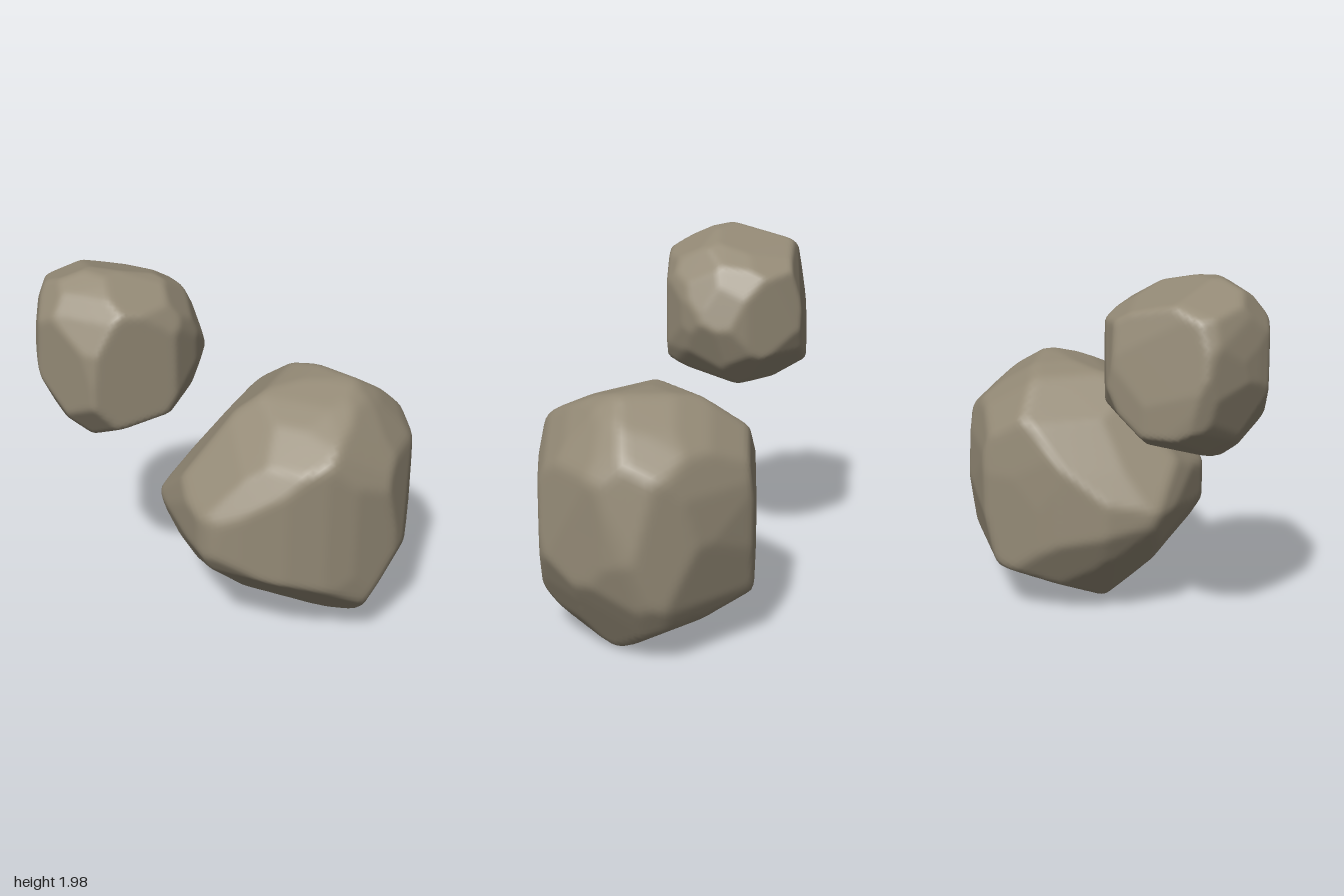
import * as THREE from 'three';
import { mergeVertices } from 'three/addons/utils/BufferGeometryUtils.js';

const V = (x, y, z) => new THREE.Vector3(x, y, z);

// A tilted carving direction, given by its turn about y and its height angle in degrees
function diagonal(turn, height) {
  const t = THREE.MathUtils.degToRad(turn), h = THREE.MathUtils.degToRad(height);
  return [
    V(Math.cos(t), 0, -Math.sin(t)),
    V(-Math.sin(h) * Math.sin(t), Math.cos(h), -Math.sin(h) * Math.cos(t)),
    1,
  ];
}

// Carving directions: the two axes an outline is drawn on, and its origin height
const SIDES = {
  front: [V(1, 0, 0), V(0, 1, 0), 0],
  side: [V(0, 0, 1), V(0, 1, 0), 0],
  top: [V(1, 0, 0), V(0, 0, 1), 0],
  frontDiagonal: diagonal(35, 25),
  backDiagonal: diagonal(215, 25),
  lowDiagonal: diagonal(140, -31),
};

// Each outline edge becomes one cutting plane: [normal, distance from the centre]
function cuttingPlanes(center, outlines) {
  const planes = [];
  for (const [side, o] of Object.entries(outlines)) {
    const [u, v, y0] = SIDES[side];
    const c = center.clone().sub(V(0, y0, 0));
    const cu = c.dot(u), cv = c.dot(v);
    for (let i = 0; i < o.length; i += 2) {
      const j = (i + 2) % o.length;
      let nu = o[j + 1] - o[i + 1], nv = o[i] - o[j];
      const len = Math.hypot(nu, nv);
      const flip = nu * (o[i] - cu) + nv * (o[i + 1] - cv) < 0 ? -1 : 1;
      nu *= flip / len;
      nv *= flip / len;
      let d = 0;
      for (let k = 0; k < o.length; k += 2) {
        d = Math.max(d, nu * (o[k] - cu) + nv * (o[k + 1] - cv));
      }
      planes.push([u.clone().multiplyScalar(nu).addScaledVector(v, nv), d]);
    }
  }
  return planes;
}

// A sphere cut down by the planes, with slightly worn edges
function rock(name, material, center, outlines) {
  const planes = cuttingPlanes(center, outlines);
  const reach = (dir) => {
    let r = 2;
    for (const [n, d] of planes) {
      const k = n.dot(dir);
      if (k > 0.01) r = Math.min(r, d / k);
    }
    return r;
  };
  let geo = new THREE.IcosahedronGeometry(1, 26);
  geo.deleteAttribute('uv');
  geo.deleteAttribute('normal');
  geo = mergeVertices(geo, 1e-5);
  const pos = geo.attributes.position, dir = V(0, 0, 0), t = V(0, 0, 0);
  const wear = 0.05;
  for (let i = 0; i < pos.count; i++) {
    dir.fromBufferAttribute(pos, i).normalize();
    let sum = 2 * reach(dir);
    for (const axis of ['x', 'y', 'z']) {
      for (const s of [-wear, wear]) {
        t.copy(dir);
        t[axis] += s;
        sum += reach(t.normalize());
      }
    }
    dir.multiplyScalar(sum / 8);
    pos.setXYZ(i, dir.x, dir.y, dir.z);
  }
  geo.computeVertexNormals();
  const mesh = new THREE.Mesh(geo, material);
  mesh.name = name;
  mesh.position.copy(center);
  return mesh;
}

export function createModel() {
  const group = new THREE.Group();
  group.name = 'rocks';
  const stone = new THREE.MeshStandardMaterial({ color: 0x958b77 });
  stone.name = 'stone';

  // Large lower boulder
  group.add(rock('largeRock', stone, V(0.34, 0.68, -0.06), {
    front: [0.05, 0.075, 0.58, 0, 0.69, 0.01, 0.83, 0.2, 0.91, 0.37, 0.985, 0.56, 0.92, 1.05, 0.73, 1.32,
      0.63, 1.385, 0.37, 1.365, 0.21, 1.33, 0, 1.17, -0.2, 0.9, -0.335, 0.7, -0.335, 0.64, -0.22, 0.41],
    side: [0.565, 0.81, 0.575, 0.61, 0.5, 0.49, 0, 0.05, -0.15, 0, -0.24, 0.01, -0.58, 0.24, -0.63, 0.36,
      -0.69, 0.7, -0.665, 0.95, -0.6, 1.18, -0.5, 1.28, -0.3, 1.385, -0.15, 1.375, 0.05, 1.32, 0.2, 1.25, 0.4, 1.1],
    top: [0.14, -0.67, 0.5, -0.695, 0.6, -0.66, 0.84, -0.57, 0.9, -0.43, 0.985, -0.05, 0.97, 0.03, 0.82, 0.24, 0.7, 0.35,
      0.52, 0.46, 0.3, 0.54, 0.16, 0.575, 0.07, 0.545, -0.12, 0.38, -0.335, 0.2, -0.3, -0.1, -0.17, -0.33, 0.06, -0.57],
    frontDiagonal: [-0.375, -0.26, 0.01, 0.15, 0.4, 0.38, 0.51, 0.37, 0.77, 0.22, 0.945, 0.09, 1.01, -0.34,
      0.945, -0.58, 0.77, -0.855, 0.7, -0.97, 0.575, -0.99, 0.4, -0.96, 0.05, -0.84, -0.195, -0.655, -0.285, -0.51, -0.355, -0.34],
    backDiagonal: [-1.005, -0.31, -0.97, 0.105, -0.895, 0.21, -0.7, 0.41, -0.56, 0.455, -0.445, 0.45, -0.19, 0.395,
      0.025, 0.245, 0.29, 0.01, 0.37, -0.29, 0.34, -0.395, -0.045, -0.835, -0.795, -0.795, -0.85, -0.73, -0.95, -0.575],
    lowDiagonal: [-0.795, 0.15, -0.73, 0.29, -0.615, 0.43, -0.47, 0.565, -0.345, 0.62, -0.065, 0.565, 0.105, 0.485,
      0.3, 0.34, 0.335, 0.085, 0.355, -0.34, 0.21, -0.565, -0.04, -0.785, -0.37, -0.55, -0.765, -0.415, -0.795, -0.19],
  }));

  // Small upper boulder
  group.add(rock('smallRock', stone, V(-0.54, 1.55, 0.25), {
    front: [-0.61, 2, -0.44, 1.99, -0.24, 1.92, -0.13, 1.81, -0.09, 1.66, -0.09, 1.52, -0.12, 1.38, -0.17, 1.27,
      -0.34, 1.19, -0.57, 1.1, -0.64, 1.1, -0.84, 1.2, -0.93, 1.31, -0.985, 1.6, -0.97, 1.73, -0.91, 1.88],
    side: [0.41, 2, 0.34, 2, 0.05, 1.91, -0.11, 1.85, -0.14, 1.81, -0.18, 1.49, -0.14, 1.37, 0.02, 1.19,
      0.3, 1.1, 0.4, 1.1, 0.54, 1.17, 0.69, 1.4, 0.69, 1.47, 0.67, 1.67, 0.6, 1.83, 0.53, 1.92],
    top: [-0.6, -0.185, -0.29, -0.11, -0.18, -0.06, -0.1, 0.06, -0.09, 0.2, -0.12, 0.37, -0.26, 0.52,
      -0.42, 0.69, -0.81, 0.57, -0.93, 0.3, -0.99, 0.2, -0.97, 0.16, -0.78, -0.05],
    frontDiagonal: [-0.985, 0.43, -0.97, 0.67, -0.94, 0.82, -0.895, 0.93, -0.7, 0.995, -0.47, 0.96, -0.25, 0.865,
      -0.17, 0.725, -0.115, 0.51, -0.205, 0.315, -0.335, 0.175, -0.575, 0.115, -0.73, 0.095, -0.85, 0.19],
    backDiagonal: [0.105, 0.455, 0.135, 0.565, 0.205, 0.72, 0.335, 0.855, 0.635, 0.925, 0.85, 0.855, 0.965, 0.71,
      0.98, 0.455, 0.905, 0.195, 0.84, 0.08, 0.455, 0.025, 0.32, 0.1, 0.19, 0.235],
    lowDiagonal: [-0.2, 0.2, -0.16, 0.42, -0.065, 0.57, 0.04, 0.635, 0.175, 0.635, 0.38, 0.62, 0.53, 0.565,
      0.58, 0.415, 0.645, 0.05, 0.63, -0.08, 0.36, -0.215, 0.1, -0.32, -0.12, -0.25],
  }));
  return group;
}
